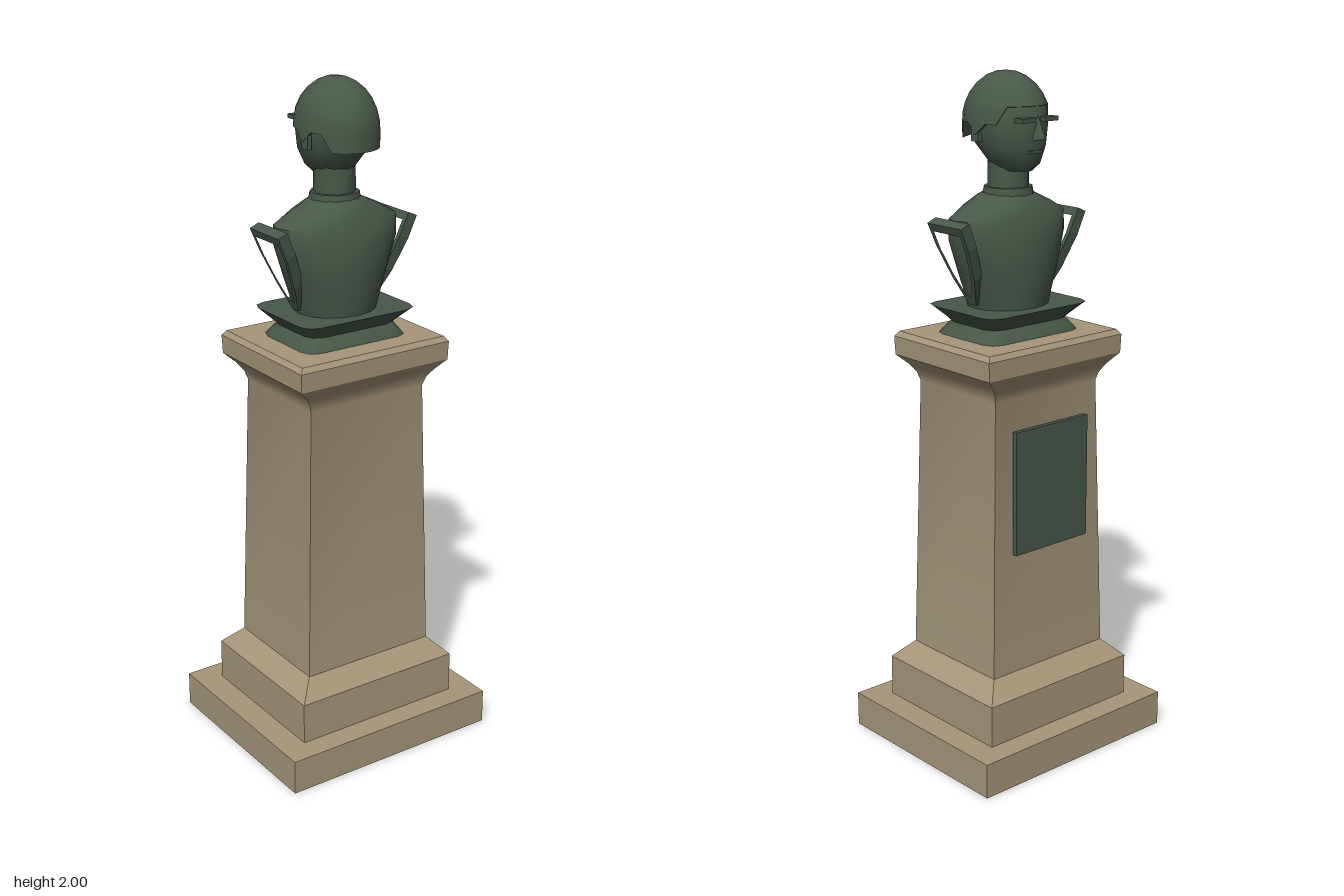
import * as THREE from 'three';
import { toCreasedNormals } from 'three/addons/utils/BufferGeometryUtils.js';

// Closed skin over rings of [x, y, z] points, listed bottom to top
function loft(rings, crease = 0.75) {
  const pos = [], n = rings[0].length;
  const mid = (r) => [0, 1, 2].map((k) => r.reduce((s, p) => s + p[k], 0) / n);
  const tri = (a, b, c) => pos.push(...a, ...b, ...c);
  const last = rings[rings.length - 1];
  const low = mid(rings[0]), high = mid(last);
  for (let i = 0; i < n; i++) {
    const j = (i + 1) % n;
    for (let k = 0; k < rings.length - 1; k++) {
      const a = rings[k], b = rings[k + 1];
      tri(a[i], b[i], a[j]);
      tri(a[j], b[i], b[j]);
    }
    tri(low, rings[0][i], rings[0][j]);
    tri(high, last[j], last[i]);
  }
  const geo = new THREE.BufferGeometry();
  geo.setAttribute('position', new THREE.Float32BufferAttribute(pos, 3));
  return toCreasedNormals(geo, crease);
}

// Oval ring: half width, z of the face side, z of the back side
function oval([y, hx, zf, zb], sides) {
  return Array.from({ length: sides }, (_, i) => {
    const a = (i / sides) * Math.PI * 2;
    return [Math.cos(a) * hx, y, (zf + zb) / 2 + (Math.sin(a) * (zb - zf)) / 2];
  });
}

const rect = ([y, hx, hz]) => [[hx, y, -hz], [hx, y, hz], [-hx, y, hz], [-hx, y, -hz]];

// Rectangle with rounded corners of radius r
function roundRect([y, hx, hz], r = 0.042) {
  const ring = [];
  [[1, 1], [-1, 1], [-1, -1], [1, -1]].forEach(([sx, sz], q) => {
    for (let i = 0; i <= 2; i++) {
      const a = (q + i / 2) * Math.PI / 2;
      ring.push([sx * (hx - r) + r * Math.cos(a), y, sz * (hz - r) + r * Math.sin(a)]);
    }
  });
  return ring;
}

export function createModel() {
  const model = new THREE.Group();
  const stone = new THREE.MeshStandardMaterial({ name: 'stone', color: 0xa6967a });
  const bronze = new THREE.MeshStandardMaterial({ name: 'bronze', color: 0x485849 });

  function add(name, geo, mat = bronze, parent = model) {
    const mesh = new THREE.Mesh(geo, mat);
    mesh.name = name;
    parent.add(mesh);
    return mesh;
  }
  const box = (name, w, h, d, x, y, z) =>
    add(name, new THREE.BoxGeometry(w, h, d)).position.set(x, y, z);

  // Stepped plinth, tapered shaft and flared capital
  add('lowerStep', loft([[0, 0.35, 0.306], [0.105, 0.35, 0.306]].map(rect)), stone);
  add('upperStep', loft([[0.105, 0.27, 0.235], [0.23, 0.27, 0.235], [0.285, 0.215, 0.182]].map(rect), 0.3), stone);
  add('shaftAndCapital', loft([
    [0.28, 0.216, 0.183], [1.11, 0.194, 0.166], [1.135, 0.202, 0.173], [1.16, 0.22, 0.187],
    [1.19, 0.252, 0.208], [1.245, 0.254, 0.21], [1.26, 0.243, 0.199],
  ].map(rect), 0.55), stone);
  box('plaque', 0.277, 0.37, 0.014, 0, 0.835, -0.185);

  // Socle under the bust
  add('socleFoot', loft([[1.258, 0.175, 0.13], [1.27, 0.168, 0.124], [1.3, 0.145, 0.104]].map((s) => roundRect(s))));
  add('socleTop', loft([[1.295, 0.148, 0.106], [1.305, 0.156, 0.114], [1.342, 0.191, 0.148]].map((s) => roundRect(s))));

  // Torso, collar and neck
  add('torso', loft([
    [1.335, 0.122, -0.108, 0.112], [1.39, 0.138, -0.115, 0.12], [1.45, 0.16, -0.12, 0.126],
    [1.54, 0.192, -0.12, 0.129], [1.6, 0.196, -0.105, 0.112], [1.63, 0.143, -0.092, 0.1],
    [1.655, 0.088, -0.076, 0.085], [1.668, 0.06, -0.06, 0.065],
  ].map((s) => oval(s, 16)), 0.9));
  add('collar', loft([[1.64, 0.078, -0.075, 0.075], [1.68, 0.07, -0.07, 0.07]].map((s) => oval(s, 12))));
  add('neck', loft([[1.66, 0.06, -0.062, 0.06], [1.78, 0.058, -0.06, 0.06]].map((s) => oval(s, 12))));

  // Hollow rims where the arms are cut off
  const outline = (k) => [[-0.073, 0.272], [0.073, 0.272], [0.07, 0.2], [0.048, 0.1],
    [0.015, 0.015], [-0.015, 0.015], [-0.048, 0.1], [-0.07, 0.2]]
    .map(([u, v]) => new THREE.Vector2(u * k, 0.16 + (v - 0.16) * k));
  const rim = new THREE.Shape(outline(1));
  rim.holes.push(new THREE.Path(outline(0.78)));
  const rimGeo = new THREE.ExtrudeGeometry(rim, { depth: 0.032, bevelEnabled: false });
  rimGeo.translate(0, 0, -0.032);
  rimGeo.applyMatrix4(new THREE.Matrix4().makeBasis(
    new THREE.Vector3(0, 0, -1), new THREE.Vector3(0.393, 0.919, 0), new THREE.Vector3(0.919, -0.393, 0),
  ).setPosition(0.128, 1.34, 0));
  add('leftArmRim', rimGeo);
  add('rightArmRim', rimGeo).rotation.y = Math.PI;

  // Head
  add('head', loft([
    [1.728, 0.04, -0.088, 0.035], [1.75, 0.064, -0.11, 0.06], [1.8, 0.094, -0.12, 0.1],
    [1.86, 0.104, -0.125, 0.125], [1.92, 0.098, -0.116, 0.118], [1.965, 0.065, -0.08, 0.08],
  ].map((s) => oval(s, 12)), 0.9));

  // Cap of hair with a stepped hairline: low at the nape, high at the brow
  const hairline = (s) => (s > 0.55 ? 1.81 : s > 0.22 ? 1.86 : s > -0.02 ? 1.83 : s > -0.52 ? 1.86 : 1.91);
  const hairRings = [1.81, 1.83, 1.86, 1.885, 1.91, 1.94, 1.965, 1.985, 1.996, 2].map((level) =>
    Array.from({ length: 24 }, (_, i) => {
      const a = (i / 24) * Math.PI * 2, s = Math.sin(a);
      const y = Math.max(level, hairline(s));
      const r = Math.sqrt(Math.max(0, 1 - Math.max(0, (y - 1.86) / 0.14) ** 2));
      return [Math.cos(a) * 0.113 * r, y, 0.008 + s * 0.136 * r];
    }));
  add('hair', loft(hairRings, 0.9));

  // Face
  for (const [side, s] of [['left', 1], ['right', -1]]) {
    box(side + 'Brow', 0.05, 0.012, 0.035, s * 0.041, 1.874, -0.118);
    box(side + 'Ear', 0.014, 0.05, 0.03, s * 0.103, 1.835, 0.015);
  }
  box('mouth', 0.045, 0.008, 0.02, 0, 1.785, -0.11);
  add('nose', loft([
    [[0.019, 1.815, -0.11], [-0.019, 1.815, -0.11], [0, 1.823, -0.154]],
    [[0.007, 1.88, -0.115], [-0.007, 1.88, -0.115], [0, 1.88, -0.128]],
  ], 0.3));

  return model;
}
